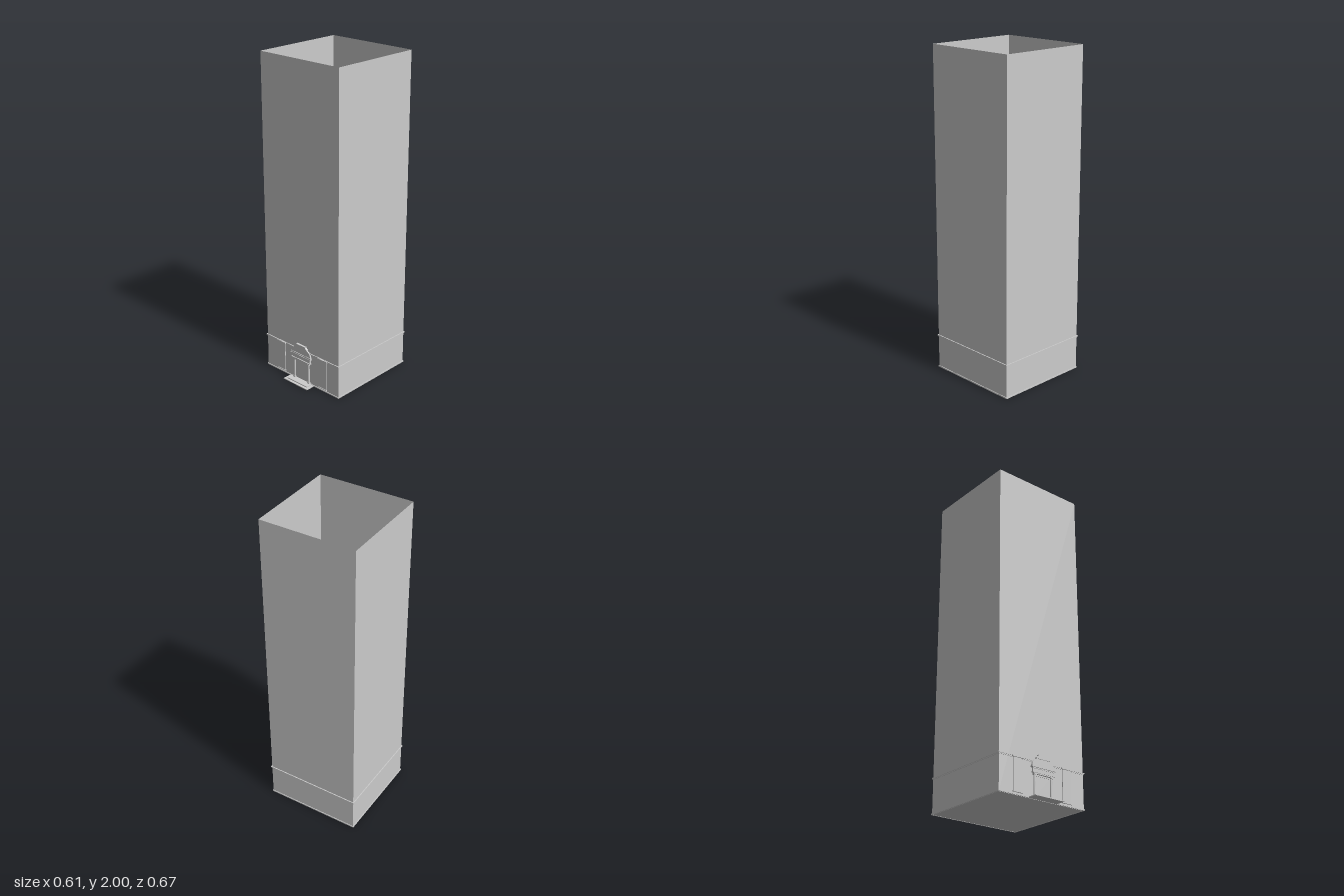
import * as THREE from 'three';

const grey = new THREE.MeshStandardMaterial({ color: 0xcccccc, flatShading: true, side: THREE.DoubleSide });
const smooth = new THREE.MeshStandardMaterial({ color: 0xcccccc });
const CZ = -0.03;      // tower centre in z
const WALL = 0.27;     // front wall plane

export function createModel() {
  const model = new THREE.Group();
  model.name = 'tower';

  const add = (name, geometry, material = grey) => {
    const mesh = new THREE.Mesh(geometry, material);
    mesh.name = name;
    model.add(mesh);
    return mesh;
  };
  // Box given by its extents
  const box = (name, x0, x1, y0, y1, z0, z1) =>
    add(name, new THREE.BoxGeometry(x1 - x0, y1 - y0, z1 - z0))
      .position.set((x0 + x1) / 2, (y0 + y1) / 2, (z0 + z1) / 2);
  // Square band around the tower
  const band = (name, inner, outer, y, height) => {
    const square = (h, Type) => new Type([[-h, -h], [h, -h], [h, h], [-h, h]].map(p => new THREE.Vector2(...p)));
    const shape = square(outer, THREE.Shape);
    shape.holes.push(square(inner, THREE.Path));
    const geometry = new THREE.ExtrudeGeometry(shape, { depth: height, bevelEnabled: false });
    geometry.rotateX(-Math.PI / 2);
    add(name, geometry).position.set(0, y, CZ);
  };

  // Thin walls, open at the top
  const walls = new THREE.CylinderGeometry(0.3 * Math.SQRT2, 0.3 * Math.SQRT2, 2, 4, 1, true, Math.PI / 4);
  add('walls', walls).position.set(0, 1, CZ);

  // Floor and horizontal mouldings
  box('floor', -0.291, 0.291, 0, 0.006, CZ - 0.291, CZ + 0.291);
  band('floorRim', 0.291, 0.295, 0, 0.008);
  band('baseMoulding', 0.299, 0.304, 0, 0.008);
  band('corniceLower', 0.299, 0.303, 0.204, 0.006);
  band('corniceUpper', 0.299, 0.306, 0.21, 0.006);

  // Entrance steps
  box('lowerStep', -0.1, 0.1, 0, 0.005, WALL, 0.333);
  box('upperStep', -0.083, 0.083, 0.005, 0.01, WALL, 0.317);

  // Door and its surround
  box('door', -0.053, 0.053, 0.01, 0.135, 0.265, 0.272);
  box('doorLintel', -0.06, 0.06, 0.128, 0.136, 0.265, 0.276);
  for (const s of [-1, 1]) {
    const column = add('doorColumn', new THREE.CylinderGeometry(0.006, 0.007, 0.122, 16), smooth);
    column.position.set(s * 0.059, 0.075, 0.274);
    box('columnBase', s * 0.059 - 0.009, s * 0.059 + 0.009, 0.01, 0.016, 0.266, 0.283);
    box('columnCapital', s * 0.059 - 0.009, s * 0.059 + 0.009, 0.132, 0.138, 0.266, 0.283);
  }

  // Stacked entablature: half width, bottom, top, front
  const layers = [
    [0.07, 0.138, 0.144, 0.282],
    [0.078, 0.144, 0.15, 0.285],
    [0.073, 0.15, 0.168, 0.279],
    [0.076, 0.168, 0.174, 0.282],
    [0.083, 0.174, 0.18, 0.287],
    [0.08, 0.18, 0.188, 0.284],
  ];
  for (const [w, y0, y1, z] of layers) box('entablature', -w, w, y0, y1, 0.262, z);

  // Curved pediment
  const pediment = new THREE.Shape();
  pediment.moveTo(-0.078, 0.188);
  pediment.lineTo(0.078, 0.188);
  pediment.quadraticCurveTo(0.072, 0.222, 0.045, 0.226);
  pediment.lineTo(-0.045, 0.226);
  pediment.quadraticCurveTo(-0.072, 0.222, -0.078, 0.188);
  const curved = new THREE.ExtrudeGeometry(pediment, { depth: 0.018, bevelEnabled: false, curveSegments: 10 });
  add('pediment', curved).position.z = 0.262;

  // Tapered crown on the pediment
  const crown = new THREE.Shape([[-0.05, 0.226], [0.05, 0.226], [0.05, 0.232], [0.037, 0.243], [0.037, 0.249],
    [-0.037, 0.249], [-0.037, 0.243], [-0.05, 0.232]].map(p => new THREE.Vector2(...p)));
  add('crown', new THREE.ExtrudeGeometry(crown, { depth: 0.02, bevelEnabled: false })).position.z = 0.264;

  // Tall panels either side of the entrance
  for (const s of [-1, 1]) {
    const x = s * 0.174;
    box('sidePanel', x - 0.031, x + 0.031, 0.02, 0.206, 0.266, 0.275);
    box('panelCap', x - 0.039, x + 0.039, 0.206, 0.215, 0.266, 0.281);
    box('panelSill', x - 0.034, x + 0.034, 0.014, 0.02, 0.266, 0.278);
  }

  return model;
}
